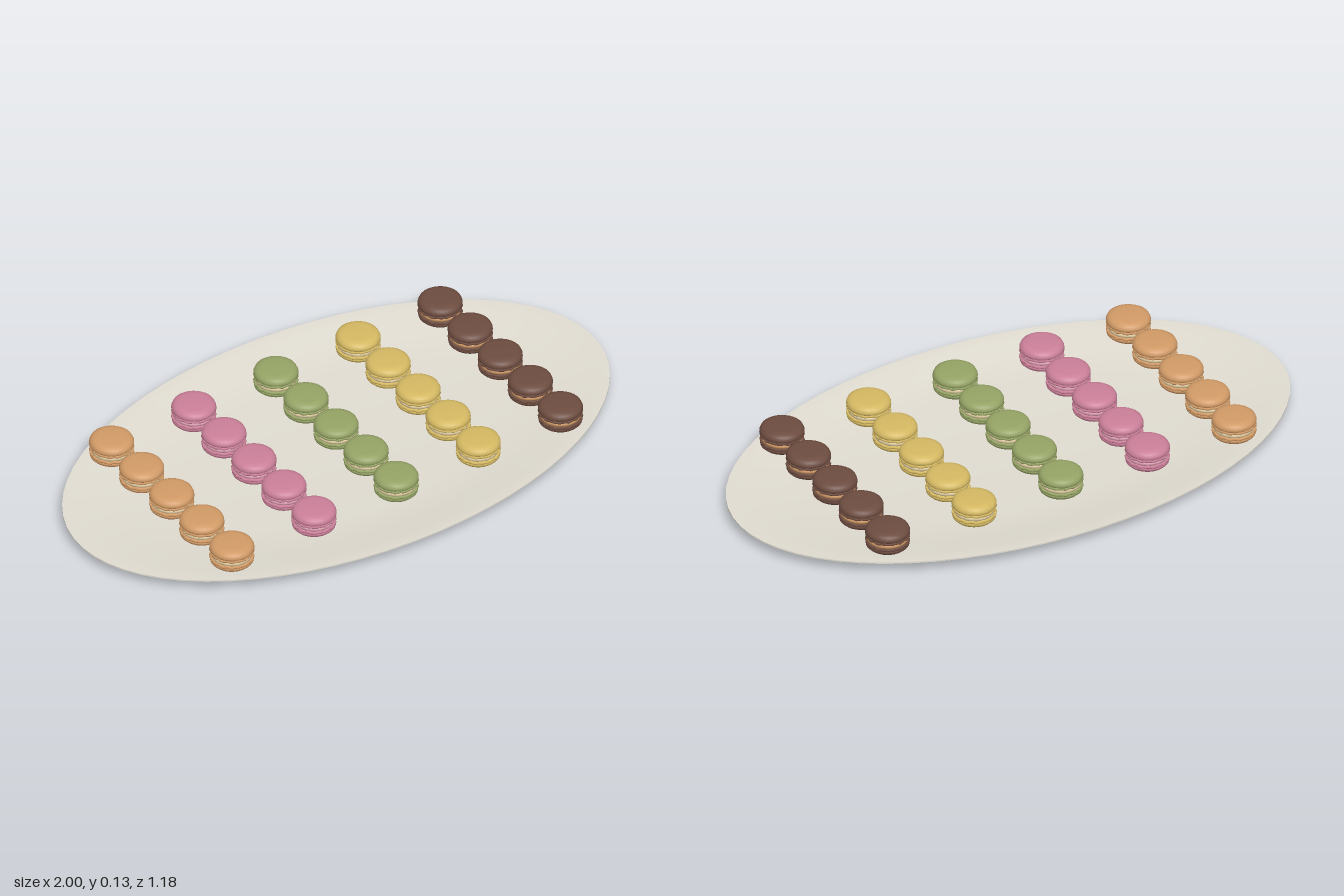
import * as THREE from 'three';
import { toCreasedNormals } from 'three/addons/utils/BufferGeometryUtils.js';

const paint = (name, color) => {
  const m = new THREE.MeshStandardMaterial({ color });
  m.name = name;
  return m;
};

const porcelain = paint('porcelain', 0xdfdbd0);
const caramel = paint('caramel', 0xd19a66);
const rose = paint('rose', 0xca7f98);
const pistachio = paint('pistachio', 0x95a365);
const lemon = paint('lemon', 0xd4b862);
const chocolate = paint('chocolate', 0x6d4c40);
const cream = paint('cream', 0xe3cfa4);
const roseCream = paint('rose cream', 0xe3a3b6);

// Revolve [radius, height] points, listed from bottom to top along the outside
const lathe = (points, segments) =>
  new THREE.LatheGeometry(points.map(([r, y]) => new THREE.Vector2(r, y)), segments);

// Ragged foot of a shell: a ring whose radius and height ripple around the edge
function ruffle(y) {
  const g = lathe([[0.062, y - 0.005], [0.071, y - 0.004], [0.073, y], [0.071, y + 0.004], [0.06, y + 0.005]], 48);
  const p = g.attributes.position;
  for (let i = 0; i < p.count; i++) {
    const a = Math.atan2(p.getZ(i), p.getX(i));
    const s = 1 + 0.018 * Math.sin(a * 16);
    p.setXYZ(i, p.getX(i) * s, p.getY(i) + 0.0012 * Math.sin(a * 12), p.getZ(i) * s);
  }
  g.computeVertexNormals();
  return g;
}

const shapes = {
  lowerShell: lathe([[0, 0.05], [0.05, 0.05], [0.064, 0.053], [0.071, 0.06], [0.072, 0.066], [0.069, 0.072], [0, 0.073]], 32),
  lowerFoot: ruffle(0.073),
  filling: lathe([[0.055, 0.074], [0.066, 0.077], [0.068, 0.084], [0.066, 0.091], [0.055, 0.094]], 32),
  upperFoot: ruffle(0.096),
  upperShell: lathe([[0, 0.098], [0.069, 0.099], [0.073, 0.104], [0.073, 0.111], [0.069, 0.12], [0.06, 0.126], [0.045, 0.129], [0, 0.13]], 32),
};

function macaron(shell, filling) {
  const group = new THREE.Group();
  for (const [name, geometry] of Object.entries(shapes)) {
    const mesh = new THREE.Mesh(geometry, name === 'filling' ? filling : shell);
    mesh.name = name;
    group.add(mesh);
  }
  return group;
}

export function createModel() {
  const model = new THREE.Group();
  model.name = 'macaronPlatter';

  // Shallow oval dish with a narrow raised rim
  const dish = lathe([
    [0, 0], [0.58, 0.002], [0.77, 0.011], [0.9, 0.026], [1, 0.039], [1, 0.044],
    [0.925, 0.042], [0.8, 0.024], [0.6, 0.017], [0, 0.014],
  ], 64);
  dish.scale(1, 1, 0.588);
  const plate = new THREE.Mesh(toCreasedNormals(dish, 0.6), porcelain);
  plate.name = 'plate';
  model.add(plate);

  // Five rows of five, one flavour per row
  const flavours = [
    ['caramelRow', caramel, cream],
    ['roseRow', rose, roseCream],
    ['pistachioRow', pistachio, cream],
    ['lemonRow', lemon, cream],
    ['chocolateRow', chocolate, caramel],
  ];
  flavours.forEach(([name, shell, filling], column) => {
    const row = new THREE.Group();
    row.name = name;
    row.position.x = (column - 2) * 0.324;
    for (let i = -2; i <= 2; i++) {
      const m = macaron(shell, filling);
      m.name = 'macaron';
      m.position.z = i * 0.17;
      m.rotation.y = i * 0.7 + column;
      row.add(m);
    }
    model.add(row);
  });

  return model;
}
